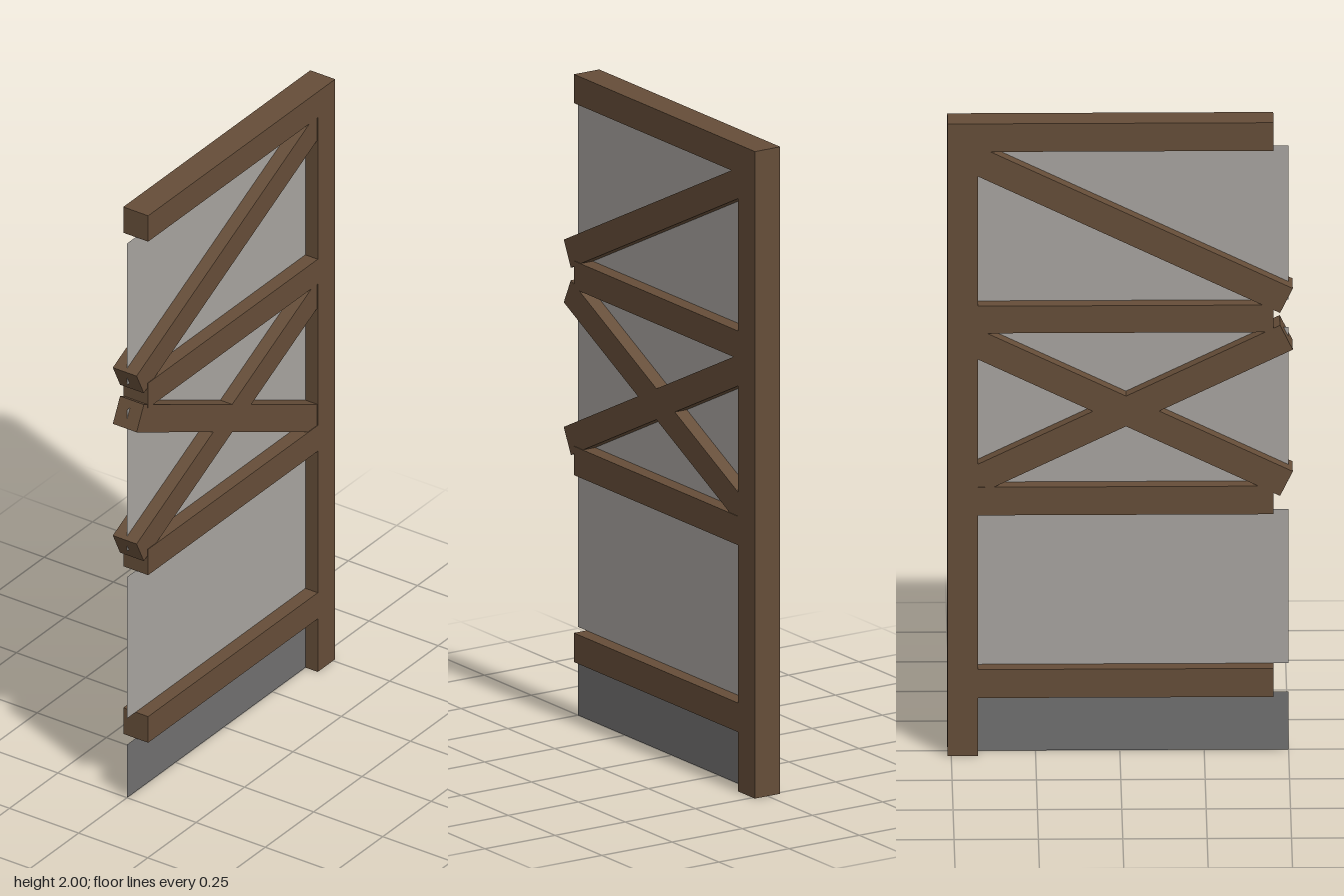
import * as THREE from 'three';

export function createModel() {
  const timber = new THREE.MeshStandardMaterial({ name: 'brown timber', color: 0x654d38 });
  const plaster = new THREE.MeshStandardMaterial({ name: 'grey plaster', color: 0xa7a39f, side: THREE.DoubleSide });
  const stone = new THREE.MeshStandardMaterial({ name: 'dark stone', color: 0x706f6f, side: THREE.DoubleSide });

  const model = new THREE.Group();
  model.name = 'timberFrameWall';
  const thick = 0.09;

  const add = (name, geometry, material, x, y, angle = 0) => {
    const mesh = new THREE.Mesh(geometry, material);
    mesh.name = name;
    mesh.position.set(x, y, 0);
    mesh.rotation.z = angle;
    model.add(mesh);
  };

  // Upright post on the left-hand side
  add('post', new THREE.BoxGeometry(thick, 2, thick), timber, 0.466, 1);

  // Horizontal rails, butting against the post
  const railLeft = -0.455, postEdge = 0.421;
  const rails = [[0.183, 0.273], [0.761, 0.85], [1.337, 1.423], [1.911, 2]];
  for (const [low, high] of rails) {
    add('rail', new THREE.BoxGeometry(postEdge - railLeft, high - low, thick), timber,
      (railLeft + postEdge) / 2, (low + high) / 2);
  }

  // Thin infill panels between the rails; the lowest is the stone base
  const panelLeft = -0.5;
  const panels = [[0, 0.183], [0.273, 0.761], [0.85, 1.337], [1.423, 1.911]];
  panels.forEach(([low, high], i) => {
    add(i === 0 ? 'basePanel' : 'infillPanel', new THREE.PlaneGeometry(postEdge - panelLeft, high - low),
      i === 0 ? stone : plaster, (panelLeft + postEdge) / 2, (low + high) / 2);
  });

  // Diagonal braces: a cross in the middle bay, a single one in the top bay
  const slope = 0.453;
  for (const [name, y, angle] of [
    ['crossBraceRising', 1.088, slope],
    ['crossBraceFalling', 1.088, -slope],
    ['topBrace', 1.667, slope],
  ]) {
    add(name, new THREE.BoxGeometry(1.057, 0.086, 0.086), timber, -0.018, y, angle);
  }

  return model;
}
